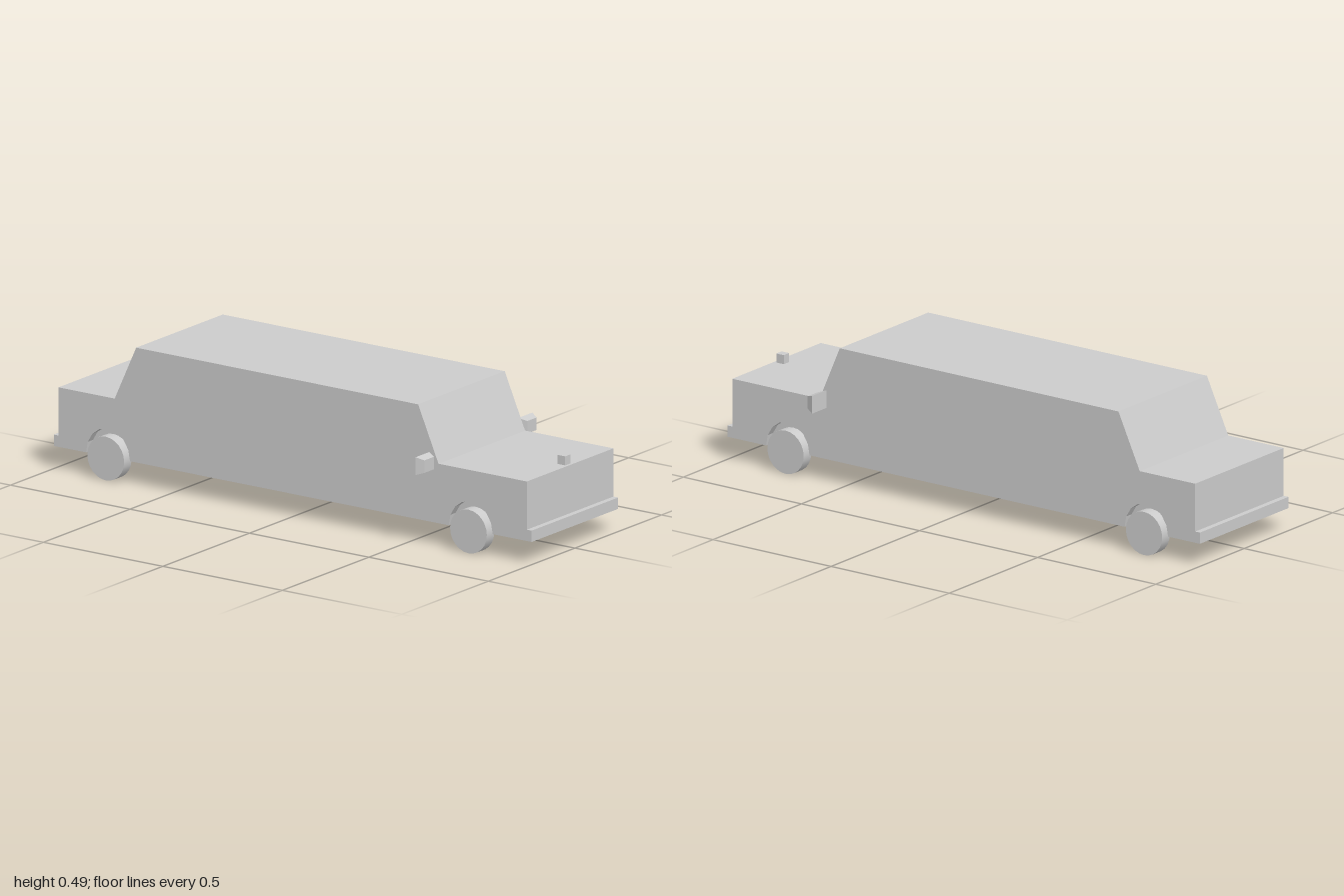
import * as THREE from 'three';

const WHEEL_Z = [0.745, -0.773];
const HALF = 0.25, INNER = 0.22, FLOOR = 0.08;

export function createModel() {
  const group = new THREE.Group();
  const material = new THREE.MeshStandardMaterial({ color: 0xcccccc, flatShading: true });
  const smooth = new THREE.MeshStandardMaterial({ color: 0xcccccc });

  const add = (name, geometry, x = 0, y = 0, z = 0, mat = material) => {
    const mesh = new THREE.Mesh(geometry, mat);
    mesh.name = name;
    mesh.position.set(x, y, z);
    group.add(mesh);
    return mesh;
  };

  // Side outline of the body as (z, y), optionally with wheel arches
  const outline = (arches) => {
    const points = [
      [0.98, FLOOR], [0.98, 0.29], [0.61, 0.29], [0.525, 0.485],
      [-0.655, 0.485], [-0.745, 0.29], [-0.98, 0.29], [-0.98, FLOOR],
    ].map(([z, y]) => new THREE.Vector2(z, y));
    if (arches) {
      for (const z of [...WHEEL_Z].reverse()) {
        for (let i = 0; i <= 8; i++) {
          const a = Math.PI * (1 - i / 8);
          points.push(new THREE.Vector2(z + 0.092 * Math.cos(a), FLOOR + 0.1 * Math.sin(a)));
        }
      }
    }
    return new THREE.Shape(points);
  };

  // Extrude the outline across x, from x0 to x1
  const slab = (arches, x0, x1) =>
    new THREE.ExtrudeGeometry(outline(arches), { depth: x1 - x0, bevelEnabled: false })
      .rotateY(-Math.PI / 2)
      .translate(x1, 0, 0);

  // Solid core with arched side panels
  add('bodyCore', slab(false, -INNER, INNER));
  add('leftSidePanel', slab(true, INNER, HALF));
  add('rightSidePanel', slab(true, -HALF, -INNER));

  // Bumpers
  const bumper = new THREE.BoxGeometry(2 * HALF, 0.04, 0.02);
  add('frontBumper', bumper, 0, 0.1, 0.99);
  add('rearBumper', bumper, 0, 0.1, -0.99);

  // Hood ornament
  add('hoodOrnament', new THREE.BoxGeometry(0.03, 0.032, 0.032), 0, 0.306, 0.954);

  // Wheels
  const wheel = new THREE.CylinderGeometry(0.077, 0.077, 0.043, 24).rotateZ(Math.PI / 2);
  // Mirror housing: box tapering toward the front
  const mirror = new THREE.BoxGeometry(0.08, 0.063, 0.028);
  const pos = mirror.attributes.position;
  for (let i = 0; i < pos.count; i++) {
    if (pos.getZ(i) > 0) pos.setXY(i, pos.getX(i) * 0.68, pos.getY(i) * 0.7);
  }
  mirror.computeVertexNormals();

  for (const [label, side] of [['left', 1], ['right', -1]]) {
    add(label + 'FrontWheel', wheel, side * 0.2415, 0.077, WHEEL_Z[0], smooth);
    add(label + 'RearWheel', wheel, side * 0.2415, 0.077, WHEEL_Z[1], smooth);
    add(label + 'Mirror', mirror, side * 0.297, 0.296, 0.591);
  }

  return group;
}
